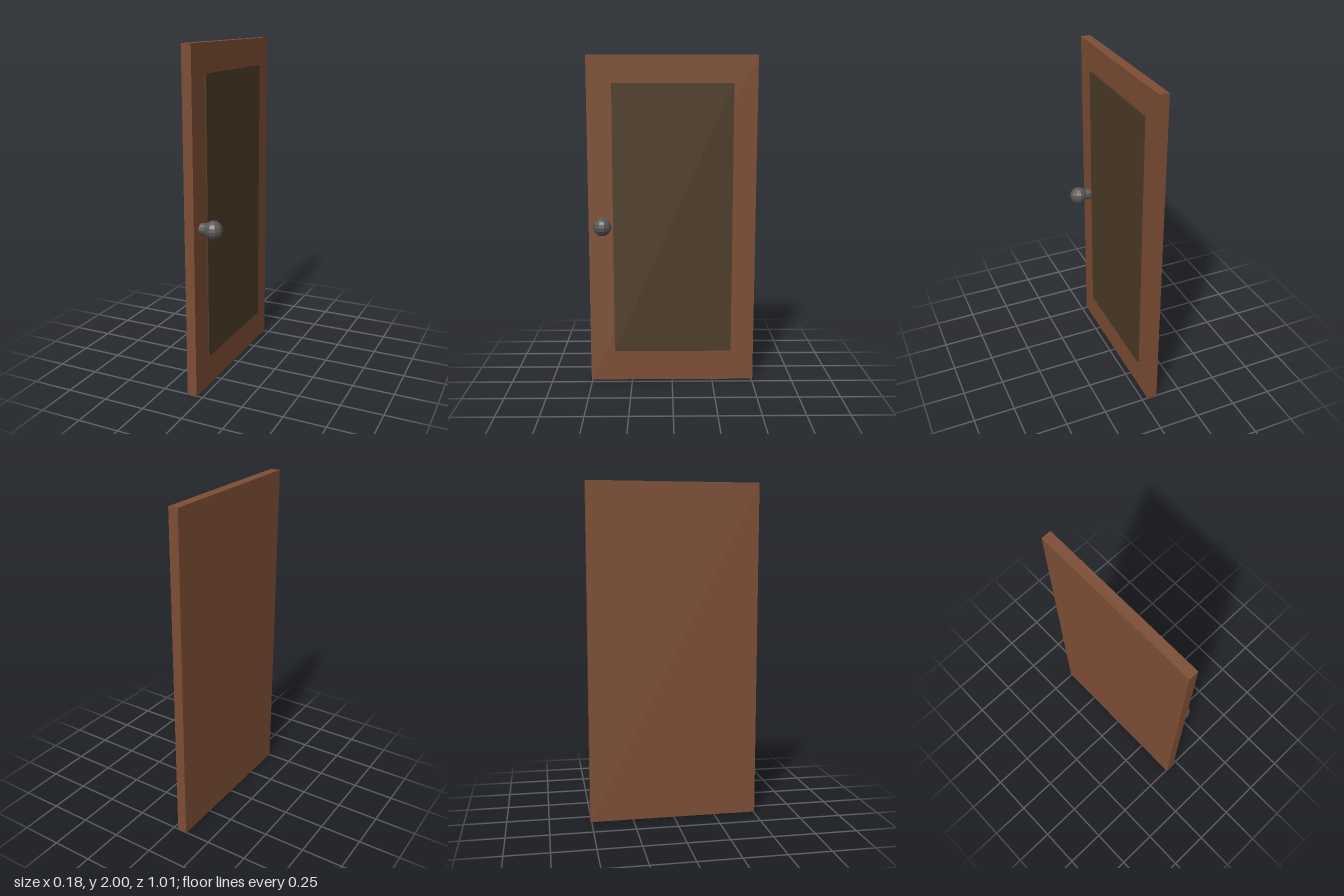
import * as THREE from 'three';

export function createModel() {
  const door = new THREE.Group();
  door.name = 'door';

  const paint = (color, flatShading = false) => {
    const material = new THREE.MeshStandardMaterial({ flatShading });
    material.color.set(color);
    return material;
  };
  const add = (name, geometry, material, x, y, z, parent = door) => {
    const mesh = new THREE.Mesh(geometry, material);
    mesh.name = name;
    mesh.position.set(x, y, z);
    parent.add(mesh);
    return mesh;
  };

  // Door slab and the thin raised panel on its +x face
  add('doorSlab', new THREE.BoxGeometry(0.058, 2, 1.014), paint(0x7d4e35), -0.064, 1, 0);
  add('raisedPanel', new THREE.BoxGeometry(0.02, 1.648, 0.724), paint(0x4e3c27), -0.036, 1.014, -0.004);

  // Handle: short round neck and faceted ball
  const handle = new THREE.Group();
  handle.name = 'handle';
  handle.position.set(0, 0.992, 0.419);
  door.add(handle);
  const metal = paint(0x5a5656, true);
  const neck = new THREE.CylinderGeometry(0.035, 0.035, 0.055, 12).rotateZ(Math.PI / 2);
  add('handleNeck', neck, metal, -0.015, 0, 0, handle);
  const ball = new THREE.SphereGeometry(0.055, 10, 8).rotateY(Math.PI / 2);
  add('handleBall', ball, metal, 0.039, 0, 0, handle);

  return door;
}
